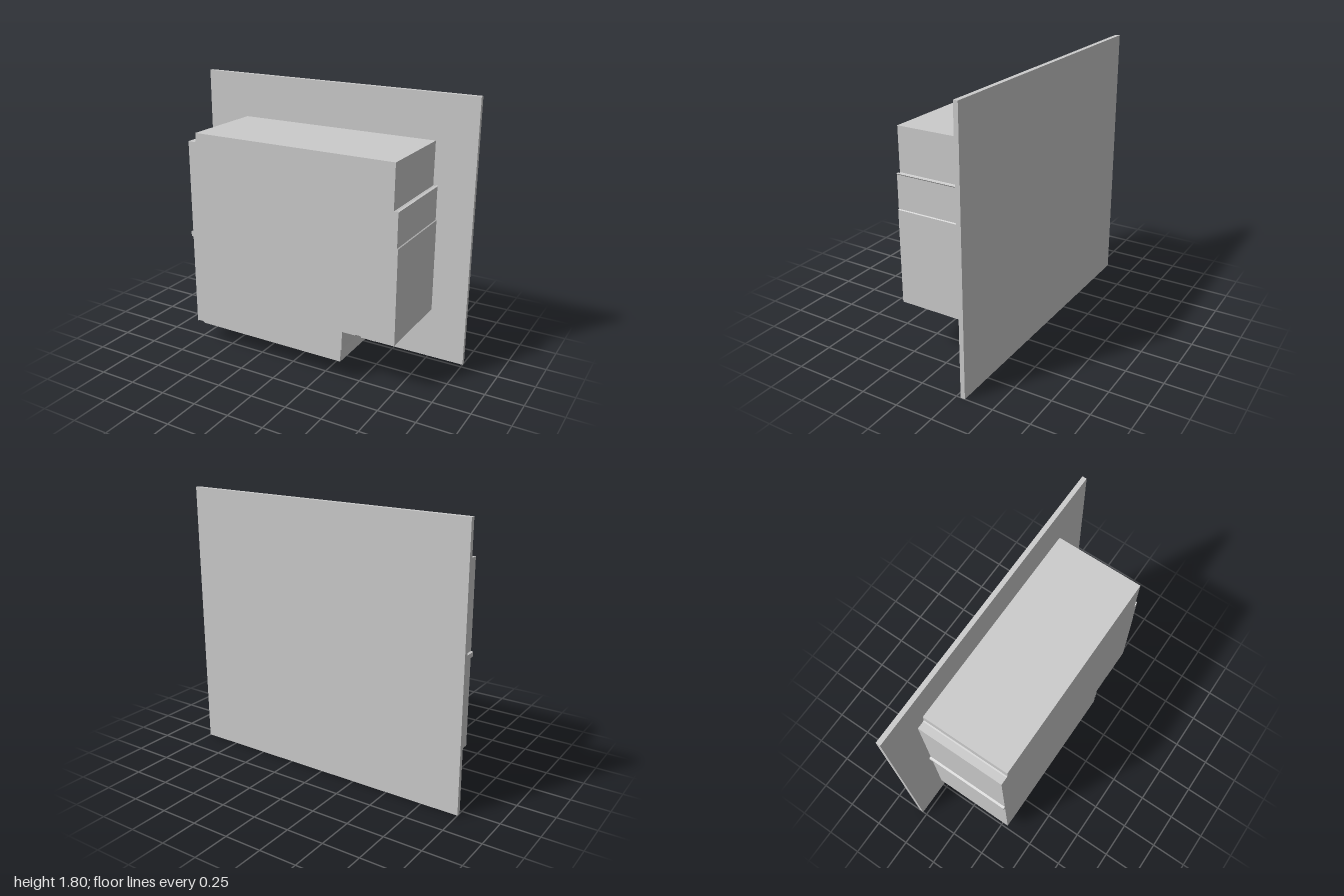
import * as THREE from 'three';

const material = new THREE.MeshStandardMaterial({ color: 0xcccccc, flatShading: true });

// Outline of the raised block, counter-clockwise, as [x, y]
const outline = [
  [-0.75, 0.14], [-0.74, 0.148], [-0.705, 0.148], [-0.69, 0.138],
  [0.39, 0.138], [0.39, 0.22], [0.397, 0.225], [0.4, 0.352],
  [0.49, 0.352], [0.495, 0.358], [0.53, 0.358], [0.535, 0.347],
  [0.585, 0.353], [0.59, 0.347], [0.63, 0.347], [0.635, 0.357],
  [0.67, 0.357], [0.68, 0.352], [0.76, 0.352],
  [0.76, 0.98], [0.754, 0.985], [0.754, 1.205], [0.76, 1.212],
  [0.745, 1.214], [0.735, 1.206], [0.725, 1.21], [0.727, 1.5],
  [-0.69, 1.5], [-0.692, 1.445], [-0.70, 1.438], [-0.75, 1.438],
  [-0.75, 0.815], [-0.765, 0.81], [-0.765, 0.778], [-0.75, 0.772],
];

export function createModel() {
  const model = new THREE.Group();
  model.name = 'wallBlock';

  // Thin flat panel at the back
  const panel = new THREE.Mesh(new THREE.BoxGeometry(2, 1.8, 0.03), material);
  panel.name = 'backPanel';
  panel.position.set(0, 0.9, -0.295);
  model.add(panel);

  // Notched block extruded forward from the panel
  const shape = new THREE.Shape(outline.map(([x, y]) => new THREE.Vector2(x, y)));
  const block = new THREE.Mesh(
    new THREE.ExtrudeGeometry(shape, { depth: 0.59, bevelEnabled: false }), material);
  block.name = 'raisedBlock';
  block.position.z = -0.28;
  model.add(block);

  return model;
}
